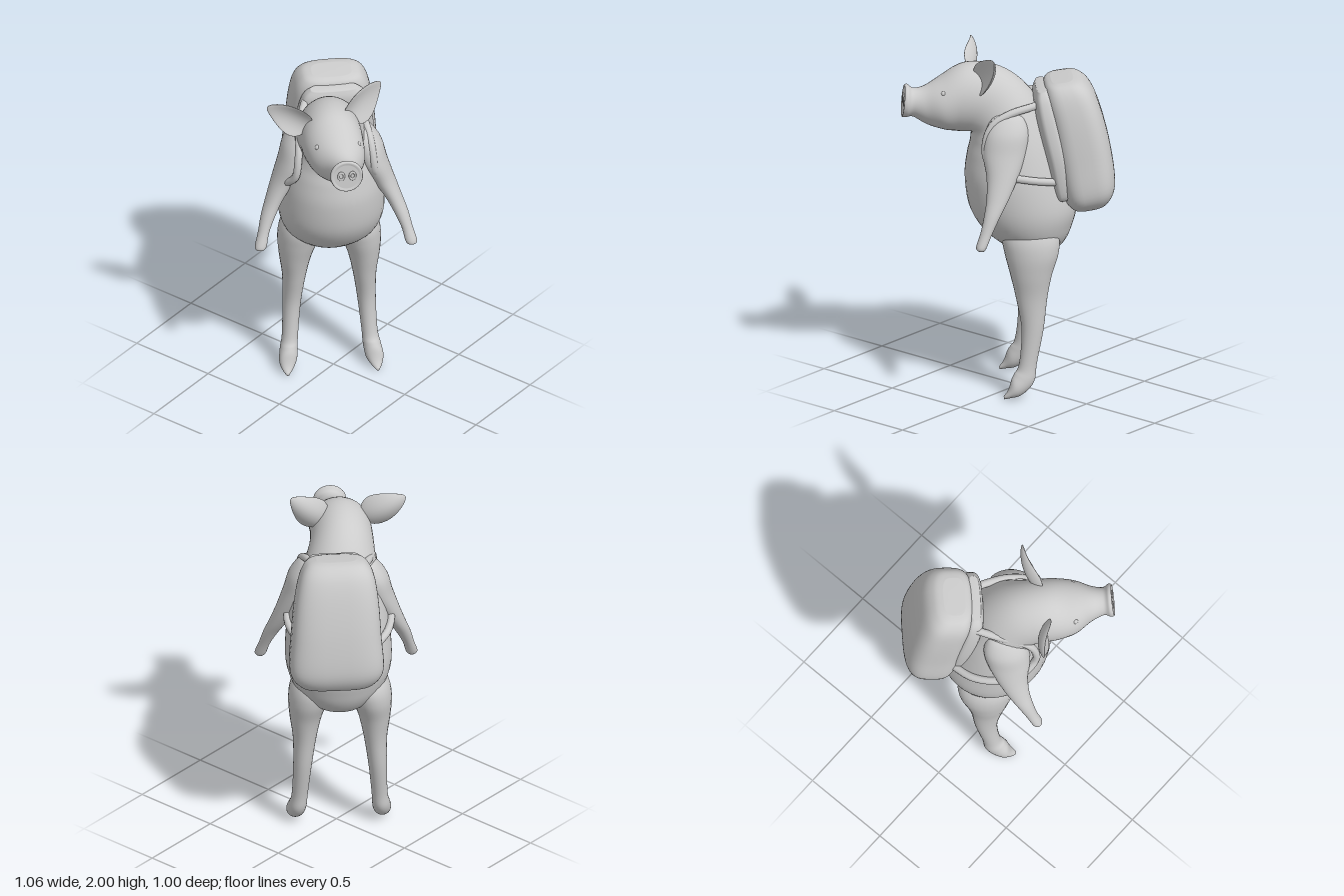
import * as THREE from 'three';

const material = new THREE.MeshStandardMaterial({ color: 0xcccccc });

// Catmull-Rom blend of whole sections
function blend(list, i, t) {
  const at = k => list[Math.min(Math.max(k, 0), list.length - 1)];
  const [a, b, c, d] = [at(i - 1), at(i), at(i + 1), at(i + 2)];
  return b.map((_, k) => 0.5 * (2 * b[k] + (c[k] - a[k]) * t
    + (2 * a[k] - 5 * b[k] + 4 * c[k] - d[k]) * t * t
    + (3 * b[k] - a[k] - 3 * c[k] + d[k]) * t * t * t));
}

// Skin over elliptical rings; section = [x, y, z, radiusX, radiusZ, pitch in degrees]
function loft(name, sections, { sides = 40, steps = 6, power = 2 } = {}) {
  const rings = [];
  for (let i = 0; i < sections.length - 1; i++)
    for (let s = 0; s < steps; s++) rings.push(blend(sections, i, s / steps));
  rings.push(sections[sections.length - 1]);
  const pos = [], index = [];
  const round = v => Math.sign(v) * Math.abs(v) ** (2 / power);
  for (const [x, y, z, rx, rz, pitch] of rings) {
    const p = THREE.MathUtils.degToRad(pitch);
    for (let j = 0; j < sides; j++) {
      const a = (j / sides) * Math.PI * 2;
      const w = rz * round(Math.sin(a));
      pos.push(x + rx * round(Math.cos(a)), y - w * Math.sin(p), z + w * Math.cos(p));
    }
  }
  const last = rings.length - 1, base = rings.length * sides;
  pos.push(...rings[0].slice(0, 3), ...rings[last].slice(0, 3));
  for (let j = 0; j < sides; j++) {
    const k = (j + 1) % sides;
    for (let i = 0; i < last; i++) {
      const a = i * sides + j, b = i * sides + k;
      index.push(a, a + sides, b, b, a + sides, b + sides);
    }
    index.push(base, j, k, base + 1, last * sides + k, last * sides + j);
  }
  const g = new THREE.BufferGeometry();
  g.setAttribute('position', new THREE.Float32BufferAttribute(pos, 3));
  g.setIndex(index);
  g.computeVertexNormals();
  return part(name, g);
}

function part(name, geometry) {
  const mesh = new THREE.Mesh(geometry, material);
  mesh.name = name;
  return mesh;
}

// Cupped leaf shape from base to tip, hollow towards "face"
function ear(name, base, tip, face) {
  const b = new THREE.Vector3(...base), t = new THREE.Vector3(...tip);
  const y = t.clone().sub(b), length = y.length();
  y.normalize();
  const x = y.clone().cross(new THREE.Vector3(...face)).normalize();
  const z = x.clone().cross(y);
  const g = new THREE.SphereGeometry(1, 32, 24);
  const p = g.attributes.position;
  for (let i = 0; i < p.count; i++) {
    const v = p.getY(i), u = p.getX(i) * (1 - 0.42 * v);
    p.setXYZ(i, u * 0.085, (v + 1) * length / 2, p.getZ(i) * 0.016 + u * u * 0.04 - 0.025 * (1 - v * v));
  }
  g.applyMatrix4(new THREE.Matrix4().makeBasis(x, y, z).setPosition(b));
  g.computeVertexNormals();
  return part(name, g);
}

// Copy sections or points to the chosen side of the body axis, optionally moved along z
const AXIS = -0.015;
const mirror = (list, side, dz = 0) =>
  list.map(([x, y, z, ...rest]) => [AXIS + side * (x - AXIS), y, z + dz, ...rest]);

export function createModel() {
  const model = new THREE.Group();
  model.name = 'pigWithBackpack';

  // Torso, neck, head and snout as one skin
  model.add(loft('bodyAndHead', [
    [-0.01, 0.79, -0.1, 0.05, 0.05, 0],
    [-0.01, 0.82, -0.09, 0.14, 0.13, 0],
    [-0.01, 0.88, -0.07, 0.215, 0.2, 0],
    [-0.01, 0.96, -0.045, 0.27, 0.258, 0],
    [-0.01, 1.08, -0.025, 0.298, 0.302, 0],
    [-0.01, 1.25, 0.005, 0.29, 0.295, 0],
    [-0.015, 1.4, 0.025, 0.265, 0.262, 5],
    [-0.02, 1.52, 0.05, 0.235, 0.225, 15],
    [-0.03, 1.63, 0.1, 0.2, 0.205, 35],
    [-0.045, 1.69, 0.2, 0.178, 0.21, 60],
    [-0.045, 1.705, 0.32, 0.17, 0.197, 82],
    [-0.03, 1.675, 0.43, 0.15, 0.15, 95],
    [-0.015, 1.67, 0.52, 0.1, 0.11, 95],
    [-0.012, 1.69, 0.59, 0.078, 0.082, 90],
    [-0.012, 1.7, 0.625, 0.092, 0.093, 86],
    [-0.012, 1.7, 0.645, 0.088, 0.09, 84],
    [-0.012, 1.7, 0.642, 0.07, 0.072, 84],
  ]));

  // Ears
  model.add(ear('leftEar', [0.045, 1.79, 0.23], [0.242, 1.995, 0.156], [0.26, 0, 0.97]));
  model.add(ear('rightEar', [-0.17, 1.79, 0.26], [-0.405, 1.935, 0.235], [-0.2, 0, 0.97]));

  for (const side of [1, -1]) {
    const label = side > 0 ? 'left' : 'right';

    // Arm, from hand to shoulder; the right one hangs further back
    model.add(loft(label + 'Arm', mirror([
      [0.408, 0.945, 0.24, 0.02, 0.018, 0],
      [0.406, 0.965, 0.24, 0.033, 0.03, 0],
      [0.386, 1.04, 0.21, 0.032, 0.034, 0],
      [0.355, 1.13, 0.175, 0.041, 0.046, 0],
      [0.315, 1.22, 0.14, 0.05, 0.064, 0],
      [0.26, 1.33, 0.11, 0.068, 0.09, 0],
      [0.205, 1.45, 0.095, 0.085, 0.122, 0],
      [0.175, 1.56, 0.08, 0.085, 0.122, 0],
      [0.15, 1.64, 0.07, 0.055, 0.085, 0],
      [0.14, 1.665, 0.065, 0.02, 0.03, 0],
    ], side, side < 0 ? -0.05 : 0), { sides: 28 }));

    // Leg, from toe to hip
    model.add(loft(label + 'Leg', mirror([
      [0.238, 0.01, 0.1, 0.008, 0.008, -80],
      [0.235, 0.03, 0.07, 0.03, 0.022, -70],
      [0.228, 0.065, 0.03, 0.05, 0.05, -55],
      [0.218, 0.12, -0.015, 0.05, 0.06, -25],
      [0.208, 0.2, -0.037, 0.045, 0.05, 0],
      [0.195, 0.4, -0.064, 0.052, 0.062, 0],
      [0.183, 0.58, -0.06, 0.066, 0.088, 0],
      [0.177, 0.72, -0.058, 0.09, 0.118, 0],
      [0.16, 0.84, -0.062, 0.115, 0.152, 0],
      [0.14, 0.94, -0.055, 0.118, 0.16, 0],
      [0.11, 1.05, -0.04, 0.09, 0.12, 0],
    ], side, side < 0 ? -0.015 : 0), { sides: 28 }));

    // Shoulder strap, looping in front of the arm and back under it
    const path = mirror([
      [0.1, 1.71, -0.16], [0.14, 1.69, -0.05], [0.17, 1.665, 0.06], [0.185, 1.61, 0.155],
      [0.195, 1.53, 0.195], [0.21, 1.42, 0.195], [0.255, 1.34, 0.12], [0.275, 1.31, -0.02],
      [0.235, 1.28, -0.16], [0.12, 1.24, -0.29],
    ], side).map(p => new THREE.Vector3(...p));
    model.add(part(label + 'Strap',
      new THREE.TubeGeometry(new THREE.CatmullRomCurve3(path), 60, 0.022, 10)));

    // Nostril rim and eye
    const nostril = part(label + 'Nostril', new THREE.TorusGeometry(0.016, 0.006, 8, 20));
    nostril.position.set(-0.012 + side * 0.032, 1.705, 0.642);
    nostril.scale.y = 1.4;
    const eye = part(label + 'Eye', new THREE.SphereGeometry(0.016, 16, 12));
    eye.position.set(-0.033 + side * 0.114, 1.765, 0.425);
    model.add(nostril, eye);
  }

  // Backpack: boxy main bag and a slimmer padded panel against the back
  model.add(loft('backpack', [
    [0.03, 1.085, -0.385, 0.13, 0.06, 8],
    [0.03, 1.11, -0.39, 0.205, 0.11, 10],
    [0.03, 1.2, -0.385, 0.262, 0.152, 12],
    [0.03, 1.4, -0.355, 0.252, 0.16, 12],
    [0.025, 1.6, -0.315, 0.235, 0.152, 12],
    [0.02, 1.74, -0.275, 0.208, 0.138, 10],
    [0.02, 1.81, -0.25, 0.165, 0.105, 8],
    [0.02, 1.83, -0.24, 0.11, 0.06, 8],
  ], { power: 3.3, sides: 56 }));
  model.add(loft('backPanel', [
    [0.03, 1.15, -0.25, 0.16, 0.03, 12],
    [0.03, 1.19, -0.24, 0.21, 0.055, 12],
    [0.03, 1.4, -0.205, 0.228, 0.065, 12],
    [0.025, 1.6, -0.16, 0.21, 0.065, 12],
    [0.02, 1.73, -0.135, 0.175, 0.055, 12],
    [0.02, 1.785, -0.125, 0.13, 0.03, 12],
  ], { power: 3.3, sides: 48 }));

  // The figure stands turned towards its right
  model.rotation.y = -Math.PI / 4;
  const root = new THREE.Group();
  root.name = 'figure';
  root.add(model);
  return root;
}
